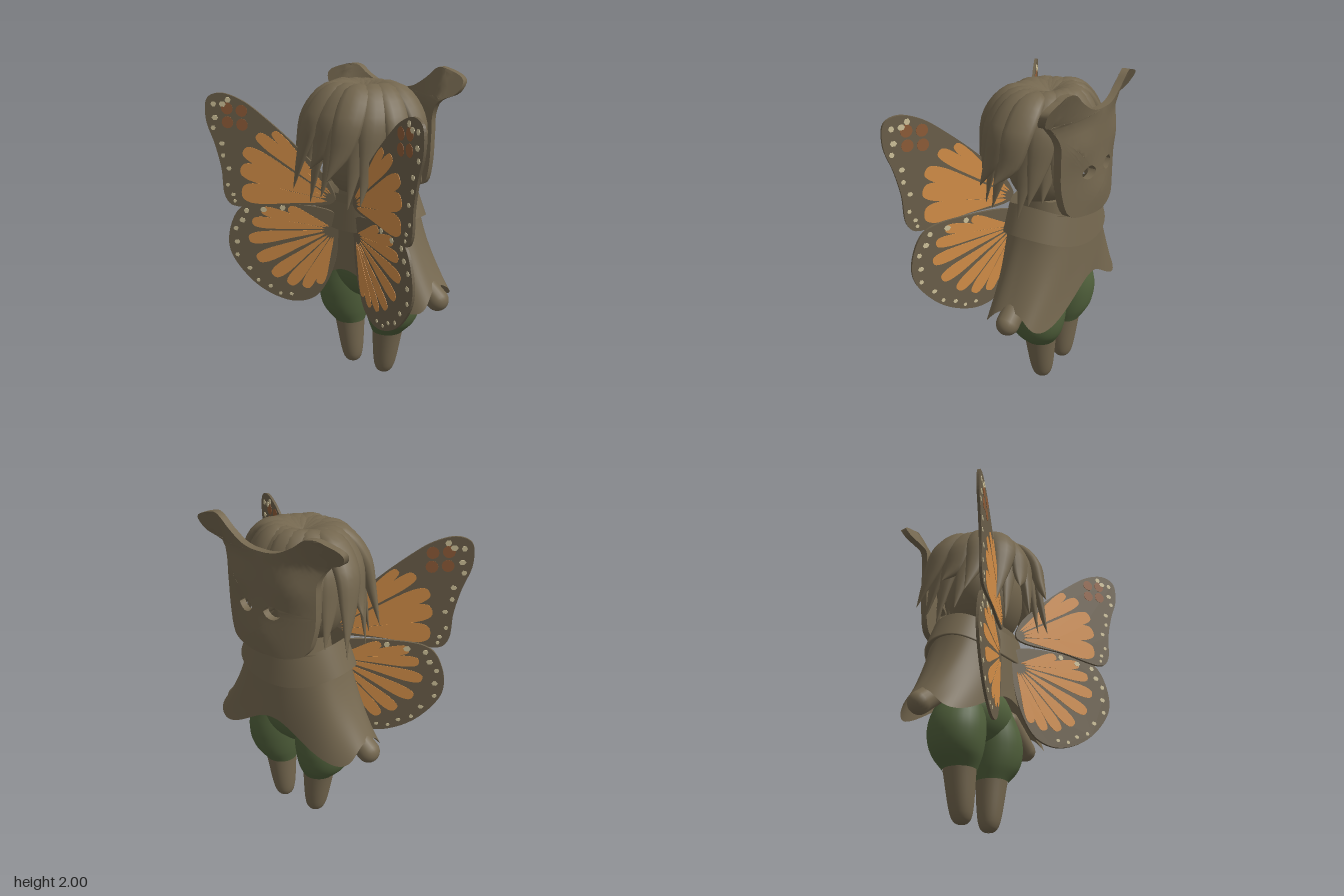
import * as THREE from 'three';
import { toCreasedNormals } from 'three/addons/utils/BufferGeometryUtils.js';
import { ParametricGeometry } from 'three/addons/geometries/ParametricGeometry.js';

const mat = (name, color, side = THREE.FrontSide) => new THREE.MeshStandardMaterial({ name, color, side });
const TAU = Math.PI * 2;
const vec = (x, y, z = 0) => new THREE.Vector3(x, y, z);

function add(parent, name, geometry, material) {
  const m = new THREE.Mesh(geometry, material);
  m.name = name;
  parent.add(m);
  return m;
}

// Closed smooth curve through a few points, and the shape it bounds
const loop = pts => new THREE.CatmullRomCurve3(pts.map(p => vec(p[0], p[1])), true);
const outline = (curve, n) => new THREE.Shape(curve.getPoints(n).slice(0, -1).map(p => new THREE.Vector2(p.x, p.y)));

// Oval spot; a pinch above 1 makes its two ends pointed
function oval(x, y, rx, ry, n = 12, pinch = 1) {
  return new THREE.Shape(Array.from({ length: n }, (_, i) => {
    const a = i / n * TAU, s = Math.sin(a);
    return new THREE.Vector2(x + rx * Math.cos(a), y + ry * Math.sign(s) * Math.abs(s) ** pinch);
  }));
}

// Halve the longest edge of each triangle until all are short, so that flat caps can be bent
function subdivide(geo, limit) {
  const p = geo.attributes.position, out = [];
  const split = (a, b, c) => {
    const ab = a.distanceTo(b), bc = b.distanceTo(c), ca = c.distanceTo(a), longest = Math.max(ab, bc, ca);
    if (longest < limit) out.push(...a, ...b, ...c);
    else if (ab < longest) split(b, c, a);
    else {
      const m = a.clone().add(b).multiplyScalar(0.5);
      split(a, m, c);
      split(m, b, c);
    }
  };
  for (let i = 0; i < p.count; i += 3) split(...[0, 1, 2].map(j => vec(0, 0).fromBufferAttribute(p, i + j)));
  const g = new THREE.BufferGeometry();
  g.setAttribute('position', new THREE.Float32BufferAttribute(out, 3));
  return g;
}

// Limb with round rings; points are [y, z centre, radius], going up
function limb(points, side) {
  const c = new THREE.CatmullRomCurve3(points.map(p => vec(...p)));
  return new ParametricGeometry((u, v, t) => {
    const p = c.getPoint(v), a = -u * TAU;
    t.set(0.14 + p.z * Math.cos(a), p.x, side * p.y + p.z * Math.sin(a));
  }, 28, 24);
}

// One strand of hair, swept from the crown outward and down
function lock(angle, reach, tipY, width) {
  const front = Math.max(0, Math.cos(angle));
  const k = reach * (1 - 0.34 * front ** 1.5), drop = tipY + 0.1 * front;
  const path = new THREE.CatmullRomCurve3([[0, 1.87], [0.2, 1.885], [0.33, 1.74], [0.385, 1.54], [0.44, drop]]
    .map(([r, y], i) => {
      const a = angle + 0.018 * i * i;
      return vec(0.1 + r * k * Math.cos(a), y, r * k * 1.06 * Math.sin(a));
    }));
  const W = vec(-Math.sin(angle), 0, Math.cos(angle));
  return new ParametricGeometry((u, v, t) => {
    const C = path.getPoint(v), T = path.getTangent(v), N = W.clone().cross(T).normalize(), f = -u * TAU;
    const w = width * Math.sin(Math.PI * (0.05 + 0.945 * v ** 0.9)) + 0.001;
    t.copy(C).addScaledVector(W, w * Math.cos(f)).addScaledVector(N, w * 0.5 * Math.sin(f));
  }, 12, 18);
}

// Wing cell on the ray from the wing root to a tip: narrow start, rounded end
function cell(base, tip, w) {
  const d = tip.clone().sub(base), n = vec(-d.y, d.x).normalize().multiplyScalar(w);
  const at = (t, s) => base.clone().addScaledVector(d, t).addScaledVector(n, s).toArray();
  return outline(loop([at(0.13, 0), at(0.5, -0.6), at(0.9, -1), at(1, -0.55), at(1, 0.55), at(0.9, 1), at(0.5, 0.6)]), 28);
}

export function createModel() {
  const root = new THREE.Group();
  const brown = mat('brown cloth', 0x74674f, THREE.DoubleSide);
  const green = mat('green trousers', 0x51613c);
  const border = mat('wing border', 0x6b5f4a);
  const orange = mat('wing orange', 0xd48f48);
  const russet = mat('wing russet', 0x8f5c38);
  const cream = mat('wing cream', 0xd0c39b);

  // Legs, trousers and arms
  for (const s of [1, -1]) {
    add(root, 'lowerLeg', limb([[0.002, 0.13, 0.002], [0.008, 0.13, 0.035], [0.04, 0.132, 0.06],
      [0.33, 0.157, 0.102]], s), brown);
    add(root, 'trouserLeg', limb([[0.315, 0.156, 0.103], [0.4, 0.184, 0.152], [0.49, 0.192, 0.174],
      [0.6, 0.185, 0.175], [0.85, 0.13, 0.11]], s), green);
    const arm = add(root, 'arm', new THREE.CapsuleGeometry(0.07, 0.24, 8, 20), brown);
    arm.position.set(0.14, 0.695, s * 0.435);
    arm.rotation.x = -s * 0.9;
  }
  const pelvis = add(root, 'trouserSeat', new THREE.SphereGeometry(1, 32, 24), green);
  pelvis.scale.set(0.178, 0.2, 0.3);
  pelvis.position.set(0.14, 0.72, 0);

  // Flared cloak with a wavy hem
  const soft = (c, e) => Math.sign(c) * Math.abs(c) ** e;
  add(root, 'cloak', new ParametricGeometry((u, v, t) => {
    const a = u * TAU, hem = 0.62 + 0.08 * Math.cos(4 * a) + 0.08 * Math.cos(a) ** 2 + 0.012 * Math.cos(a);
    const y = 1.25 + (hem - 1.25) * v, k = (1.25 - y) / 0.62;
    const fold = 1 + 0.012 * Math.sin(7 * a + 9 * y) * k;
    t.set(0.15 + (0.24 + 0.02 * k) * fold * soft(Math.cos(a), 0.72), y,
      (0.3 + 0.27 * k ** 1.6) * fold * soft(Math.sin(a), 0.98));
  }, 96, 30), brown);

  // Rolled collar, dipping at front and back
  add(root, 'collar', new ParametricGeometry((u, v, t) => {
    const a = u * TAU, roll = Math.max(0, v - 0.8) / 0.2, lift = Math.min(v / 0.8, 1);
    const y = 1.29 - 0.17 * lift + 0.02 * roll - 0.09 * Math.cos(a) ** 2 - 0.012 * Math.sin(Math.PI * roll);
    t.set(0.147 + (0.25 + 0.02 * lift - 0.04 * roll) * soft(Math.cos(a), 0.85), y,
      (0.3 + 0.075 * lift - 0.05 * roll) * soft(Math.sin(a), 0.92));
  }, 64, 20), brown);

  // Head and neck under the hair
  const head = add(root, 'head', new THREE.SphereGeometry(1, 32, 24), brown);
  head.scale.set(0.23, 0.34, 0.28);
  head.position.set(0.08, 1.53, 0);
  const neck = add(root, 'neck', new THREE.CylinderGeometry(0.17, 0.2, 0.24, 24), brown);
  neck.position.set(0.11, 1.15, 0);

  // Hair in two layers
  const hair = new THREE.Group();
  hair.name = 'hair';
  root.add(hair);
  for (let i = 0; i < 15; i++) {
    const a = (i + 0.5) / 15 * TAU, wob = Math.sin(i * 2.4);
    add(hair, 'outerLock', lock(a, 0.98 + 0.07 * wob, 1.36 + 0.1 * Math.cos(i * 1.9), 0.092), brown);
    add(hair, 'innerLock', lock(a + 0.21, 0.86 + 0.04 * wob, 1.24 + 0.04 * wob, 0.085), brown);
  }

  // Mask: mirrored half outline with ears and eye holes, then bent round the face
  const half = [[0.14, 1.25], [0.26, 1.28], [0.31, 1.42], [0.32, 1.6], [0.325, 1.72], [0.38, 1.81], [0.49, 1.865],
    [0.51, 1.925], [0.41, 1.97], [0.31, 1.98], [0.22, 1.92], [0.1, 1.865]];
  const face = outline(loop([...half, ...half.map(([x, y]) => [-x, y]).reverse()]), 96);
  for (const ex of [0.075, -0.125]) face.holes.push(oval(ex, 1.51, 0.058, 0.04, 14, 1.4));
  const mask = subdivide(new THREE.ExtrudeGeometry(face, { depth: 0.045, bevelEnabled: false }), 0.05);
  const mp = mask.attributes.position;
  const bump = (x, y, cx, cy, r) => Math.exp(-((x - cx) ** 2 + (y - cy) ** 2) / (r * r));
  for (let i = 0; i < mp.count; i++) {
    const x = mp.getX(i), y = mp.getY(i);
    const relief = 0.016 * (bump(x, y, -0.03, 1.36, 0.12) + bump(Math.abs(x), y, 0.2, 1.66, 0.1));
    const ear = 0.5 * Math.max(0, y - 1.8) * Math.min(1, Math.abs(x) * 2.5);
    // the left ear sits a little higher
    const rise = Math.max(0, y - 1.85) * (x < 0 ? 0.15 : 0);
    mp.setXYZ(i, 0.41 + mp.getZ(i) - 0.85 * Math.min(Math.abs(x), 0.37) ** 2 + relief + ear, y + rise, 0.012 - x);
  }
  add(root, 'mask', toCreasedNormals(mask, 0.7), brown);

  // Wing outlines, running from the root along the upper edge, round the tip and back
  const foreEdge = loop([[0.08, 1.2], [0.1, 1.31], [0.25, 1.5], [0.44, 1.69], [0.59, 1.81], [0.71, 1.85],
    [0.78, 1.82], [0.795, 1.69], [0.75, 1.53], [0.72, 1.38], [0.705, 1.2], [0.66, 1.145], [0.4, 1.17]]);
  const hindEdge = loop([[0.08, 1.12], [0.39, 1.17], [0.615, 1.14], [0.69, 1.02], [0.705, 0.84], [0.59, 0.65],
    [0.456, 0.55], [0.32, 0.515], [0.2, 0.56], [0.1, 0.75], [0.06, 1]]);

  // Cells fan out from the root
  const foreBase = vec(0.05, 1.2), hindBase = vec(0.08, 1.02);
  const foreCells = [[0.6, 1.235], [0.6, 1.385], [0.58, 1.5], [0.5, 1.6], [0.41, 1.62]]
    .map(([x, y], i) => cell(foreBase, vec(x, y), 0.064 - 0.009 * i));
  const hindCells = Array.from({ length: 9 }, (_, i) =>
    cell(hindBase, hindEdge.getPoint((1.1 + 0.86 * i) / 11).lerp(hindBase, 0.2), 0.028 + 0.012 * Math.sin(i * 0.4)));
  const russetCells = [0, 1, 2, 3].map(i =>
    oval(0.588 + 0.082 * (i % 2), (i < 2 ? 1.66 : 1.745) + 0.012 * (i % 2), 0.033, 0.037));

  // Pale spots follow the outer margin, the largest ones first
  const margin = (edge, from, to, n, middle) => Array.from({ length: n }, (_, i) => {
    const p = edge.getPoint(from + (to - from) * i / (n - 1)).lerp(middle, 0.09 + 0.05 * (i % 2));
    const r = 0.021 - 0.009 * i / n;
    return oval(p.x, p.y, r * (i % 2 ? 1 : 0.8), r * 0.9, 6);
  });
  const foreSpots = margin(foreEdge, 0.37, 0.83, 11, vec(0.4, 1.4));
  const hindSpots = margin(hindEdge, 0.09, 0.62, 12, vec(0.35, 0.85));

  for (const s of [1, -1]) {
    const wing = (name, offset, layers) => {
      const group = new THREE.Group();
      group.name = name;
      root.add(group);
      // The wing plane sweeps backward as it goes outward
      const place = new THREE.Matrix4().makeBasis(vec(-0.5, 0, s), vec(0, 1, 0), vec(-s * 0.894, 0, -0.447));
      place.setPosition(offset - 0.075, 0, 0);
      for (const [part, shapes, depth, material] of layers) {
        const g = new THREE.ExtrudeGeometry(shapes, { depth, bevelEnabled: false });
        add(group, part, g.translate(0, 0, -depth / 2).applyMatrix4(place), material);
      }
    };
    wing('foreWing', 0, [['wingPlate', outline(foreEdge, 91), 0.016, border], ['orangeCells', foreCells, 0.02, orange],
      ['russetCells', russetCells, 0.02, russet], ['creamSpots', foreSpots, 0.022, cream]]);
    wing('hindWing', 0.018, [['wingPlate', outline(hindEdge, 88), 0.016, border],
      ['orangeCells', hindCells, 0.02, orange], ['creamSpots', hindSpots, 0.022, cream]]);
  }
  return root;
}
